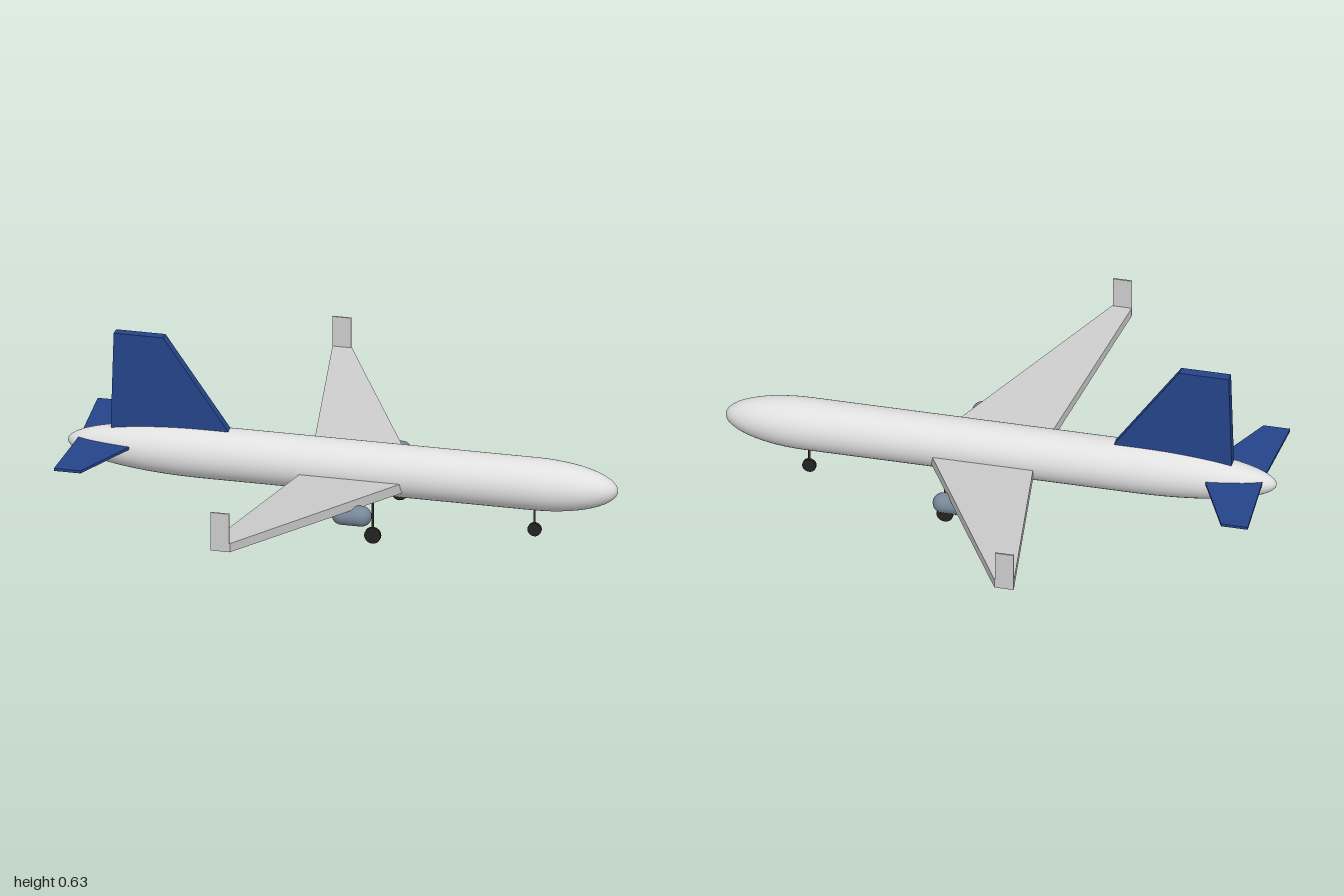
import * as THREE from 'three';

const material = (name, color) => {
  const m = new THREE.MeshStandardMaterial({ color });
  m.name = name;
  return m;
};

// Swept panel between two sections { z, back, front, low, high }; side mirrors it in z
function panel(root, tip, side) {
  const g = new THREE.BoxGeometry(1, 1, 1);
  const p = g.attributes.position;
  for (let i = 0; i < p.count; i++) {
    const s = p.getZ(i) * side > 0 ? tip : root;
    p.setXYZ(i, p.getX(i) > 0 ? s.front : s.back, p.getY(i) > 0 ? s.high : s.low, s.z * side);
  }
  g.computeVertexNormals();
  return g;
}

export function createModel() {
  const model = new THREE.Group();
  model.name = 'airliner';
  const white = material('fuselage white', 0xe0e0e0);
  const grey = material('wing grey', 0xcccccc);
  const blue = material('tail blue', 0x24448a);
  const steel = material('engine steel', 0x778899);
  const strutDark = material('strut dark grey', 0x333333);
  const black = material('tyre black', 0x222222);

  const add = (name, geometry, mat, x = 0, y = 0, z = 0) => {
    const mesh = new THREE.Mesh(geometry, mat);
    mesh.name = name;
    mesh.position.set(x, y, z);
    model.add(mesh);
    return mesh;
  };

  // Fuselage: long tapered tail, straight tube, short rounded nose
  const radius = 0.094, tail = 0.5, nose = 0.3, steps = 14;
  const profile = [];
  for (let i = 0; i <= steps; i++) {
    const a = (i / steps) * Math.PI / 2;
    profile.push(new THREE.Vector2(radius * Math.sin(a), -1 + tail * (1 - Math.cos(a))));
  }
  for (let i = 0; i <= steps; i++) {
    const a = (i / steps) * Math.PI / 2;
    profile.push(new THREE.Vector2(Math.max(0, radius * Math.cos(a)), 1 - nose + nose * Math.sin(a)));
  }
  const body = new THREE.LatheGeometry(profile, 40);
  body.rotateZ(-Math.PI / 2);
  add('fuselage', body, white, 0, 0.2);

  // Vertical fin
  const finShape = new THREE.Shape([
    new THREE.Vector2(-0.84, 0.25), new THREE.Vector2(-0.41, 0.25),
    new THREE.Vector2(-0.41, 0.288), new THREE.Vector2(-0.65, 0.63),
    new THREE.Vector2(-0.83, 0.63), new THREE.Vector2(-0.84, 0.288),
  ]);
  add('tailFin', new THREE.ExtrudeGeometry(finShape, { depth: 0.036, bevelEnabled: false }), blue, 0, 0, -0.018);

  // Landing gear leg with its wheel
  const gear = (name, x, z, r, top) => {
    add(name + 'Strut', new THREE.CylinderGeometry(0.004, 0.004, top - r, 10), strutDark, x, (top + r) / 2, z);
    const wheel = new THREE.CylinderGeometry(r, r, 0.012, 20);
    wheel.rotateX(Math.PI / 2);
    add(name + 'Wheel', wheel, black, x, r, z);
  };
  gear('noseGear', 0.697, 0, 0.025, 0.12);

  // Paired parts
  for (const [label, side] of [['right', 1], ['left', -1]]) {
    add(label + 'Wing', panel(
      { z: 0.08, back: -0.135, front: 0.235, low: 0.15, high: 0.187 },
      { z: 0.905, back: -0.26, front: -0.19, low: 0.223, high: 0.256 }, side), grey);
    add(label + 'Winglet', new THREE.BoxGeometry(0.068, 0.145, 0.006), grey, -0.226, 0.297, 0.904 * side);
    add(label + 'Stabilizer', panel(
      { z: 0.03, back: -0.955, front: -0.737, low: 0.214, high: 0.224 },
      { z: 0.325, back: -0.972, front: -0.875, low: 0.214, high: 0.224 }, side), blue);
    const engine = new THREE.CapsuleGeometry(0.037, 0.07, 8, 24);
    engine.rotateZ(Math.PI / 2);
    add(label + 'Engine', engine, steel, 0.105, 0.143, 0.3 * side);
    gear(label + 'MainGear', 0.157, 0.2 * side, 0.03, 0.165);
  }
  return model;
}
